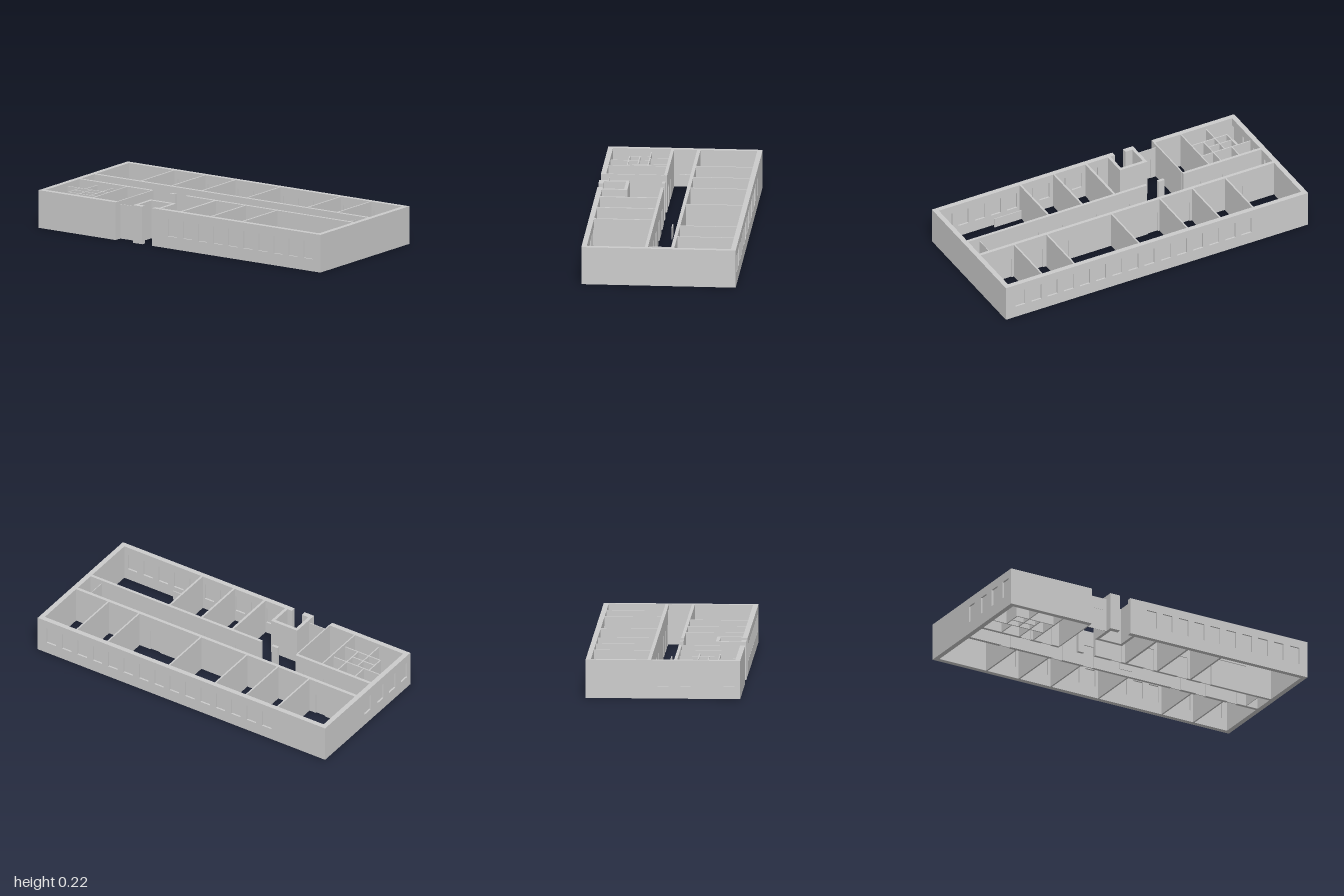
import * as THREE from 'three';

const H = 0.225, WALL = 0.03, THIN = 0.01;
const WIN = { w: 0.065, y0: 0.072, y1: 0.175 };
const DOOR = { w: 0.065, h: 0.132 };

export function createModel() {
  const model = new THREE.Group();
  model.name = 'openFloorBuilding';
  const mat = new THREE.MeshStandardMaterial({ color: 0xcccccc, flatShading: true });

  // Straight wall from a to b along an axis, centred at c across it.
  // Window and door openings are given by their centres and closed by recessed panels.
  function wall(name, axis, a, b, c, t, { windows = [], doors = [], h = H } = {}) {
    const group = new THREE.Group();
    group.name = name;
    const shape = new THREE.Shape();
    shape.moveTo(a, 0);
    for (const d of [...doors].sort((p, q) => p - q)) {
      const l = d - DOOR.w / 2, r = d + DOOR.w / 2;
      shape.lineTo(l, 0);
      shape.lineTo(l, DOOR.h);
      shape.lineTo(r, DOOR.h);
      shape.lineTo(r, 0);
    }
    shape.lineTo(b, 0);
    shape.lineTo(b, h);
    shape.lineTo(a, h);
    shape.closePath();
    for (const w of windows) {
      const l = w - WIN.w / 2, r = w + WIN.w / 2;
      const hole = new THREE.Path();
      hole.moveTo(l, WIN.y0);
      hole.lineTo(l, WIN.y1);
      hole.lineTo(r, WIN.y1);
      hole.lineTo(r, WIN.y0);
      hole.closePath();
      shape.holes.push(hole);
    }
    const geo = new THREE.ExtrudeGeometry(shape, { depth: t, bevelEnabled: false });
    geo.translate(0, 0, -t / 2);
    const body = new THREE.Mesh(geo, mat);
    body.name = name + 'Body';
    group.add(body);

    const panel = (label, u, w, y0, y1) => {
      const m = new THREE.Mesh(new THREE.BoxGeometry(w, y1 - y0, t * 0.3), mat);
      m.position.set(u, (y0 + y1) / 2, 0);
      m.name = label;
      group.add(m);
    };
    windows.forEach((u) => panel('windowPane', u, WIN.w, WIN.y0, WIN.y1));
    doors.forEach((u) => panel('doorLeaf', u, DOOR.w, 0, DOOR.h));

    if (axis === 'z') {
      group.rotation.y = -Math.PI / 2;
      group.position.x = c;
    } else {
      group.position.z = c;
    }
    model.add(group);
  }

  const row = (start, n, step = 0.107) => Array.from({ length: n }, (_, i) => start - i * step);

  // Outer shell
  wall('backWall', 'x', -1, 1, -0.435, WALL, { windows: row(0.905, 15) });
  wall('frontWall', 'x', -0.195, 1, 0.435, WALL, { windows: row(0.913, 10) });
  wall('frontWallEnd', 'x', -1, -0.455, 0.435, WALL);
  wall('rightEndWall', 'z', -0.42, 0.42, -0.985, WALL, { windows: [0, 0.135, 0.26, 0.385] });
  wall('leftEndWall', 'z', -0.42, 0.42, 0.985, WALL);

  // Corridor walls
  wall('corridorBackWall', 'x', -0.97, 0.97, -0.08, 0.02,
    { doors: [-0.73, -0.38, -0.17, 0.42, 0.59, 0.8] });
  wall('corridorFrontWall', 'x', -0.215, 0.97, 0.073, 0.018,
    { doors: [-0.07, 0.15, 0.375, 0.535] });
  wall('corridorFrontWallEnd', 'x', -0.97, -0.455, 0.073, 0.018, { doors: [-0.68, -0.54] });
  wall('corridorPillar', 'x', -0.33, -0.29, 0.073, 0.018);
  wall('corridorScreen', 'z', -0.07, 0.064, 0.893, 0.004, { h: 0.205 });

  // Partitions between back rooms
  for (const x of [-0.65, -0.432, -0.217, 0.103, 0.532, 0.746])
    wall('backPartition', 'z', -0.42, -0.09, x, THIN);

  // Partitions between front rooms
  for (const [x, t] of [[-0.632, 0.008], [-0.457, 0.008], [-0.006, 0.014], [0.207, 0.012], [0.43, 0.012]])
    wall('frontPartition', 'z', 0.082, 0.42, x, t);

  // Washroom cubicles
  for (const [axis, a, b, c] of [
    ['x', -0.97, -0.636, 0.196], ['x', -0.88, -0.725, 0.256], ['x', -0.88, -0.636, 0.316],
    ['z', 0.082, 0.196, -0.845], ['z', 0.082, 0.316, -0.725],
    ['z', 0.196, 0.316, -0.88], ['z', 0.196, 0.42, -0.8],
  ]) wall('cubiclePartition', axis, a, b, c, 0.007, { h: 0.205 });

  // Entrance vestibule and the recessed entrance screen
  wall('vestibuleBack', 'x', -0.33, -0.148, 0.282, 0.02);
  wall('vestibuleRightSide', 'z', 0.292, 0.42, -0.32, 0.02);
  wall('vestibuleLeftSide', 'z', 0.292, 0.42, -0.157, 0.018);
  wall('vestibuleFront', 'x', -0.33, -0.265, 0.435, WALL);
  wall('entranceScreen', 'x', -0.455, -0.33, 0.4, 0.005, { h: 0.205, doors: [-0.385] });

  // Low free-standing boards
  wall('roomBoard', 'x', 0.436, 0.615, 0.398, 0.005, { h: 0.06 });
  wall('corridorBoard', 'x', 0, 0.083, -0.005, 0.005, { h: 0.07 });

  return model;
}
